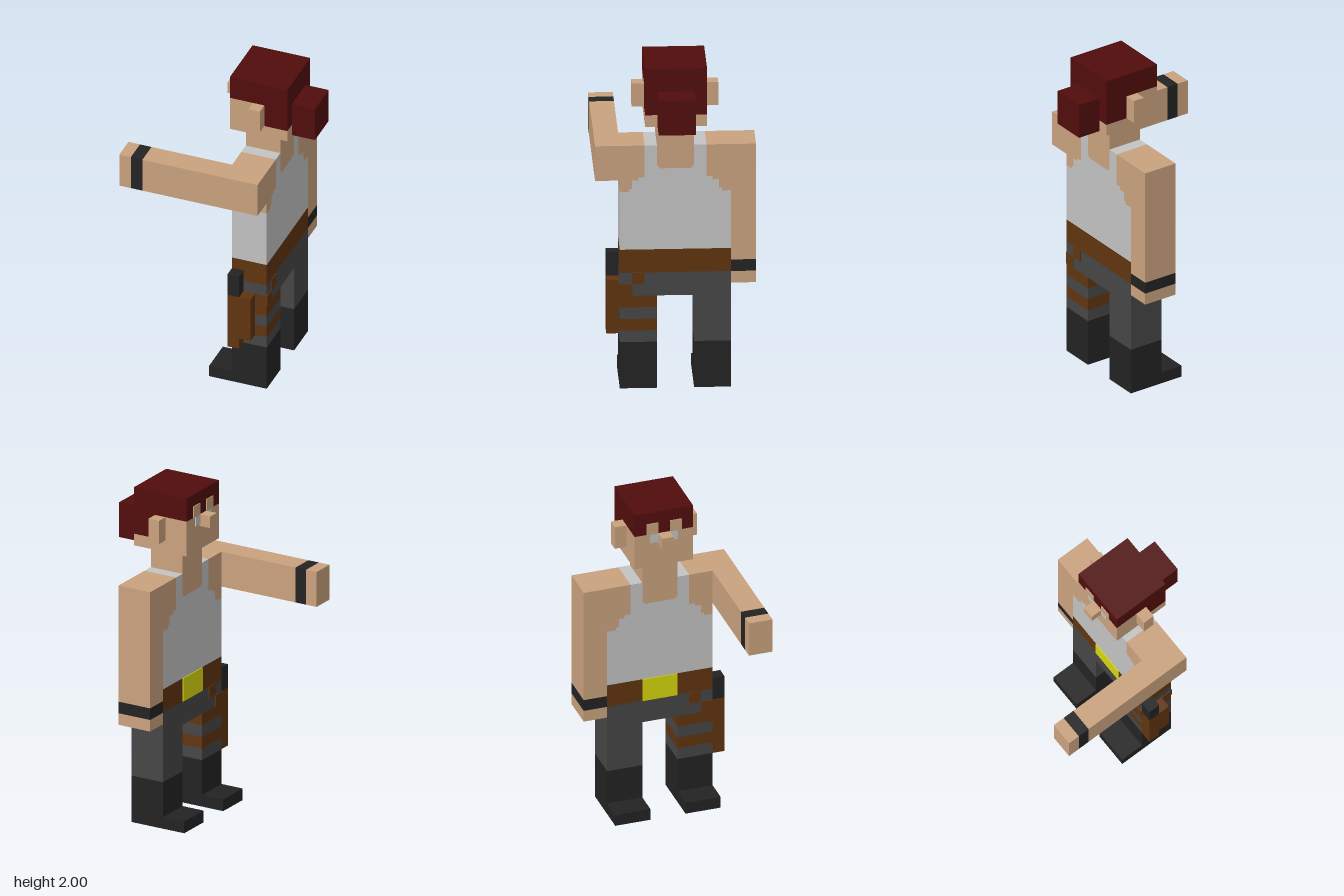
import * as THREE from 'three';

const U = 1 / 14; // one block
const T = 0.07;   // plate thickness in blocks (0.005)

const material = (name, color) => {
  const m = new THREE.MeshStandardMaterial({ color });
  m.name = name;
  return m;
};

export function createModel() {
  const skin = material('skin', 0xcaa27e);
  const hair = material('hair', 0x520d0d);
  const black = material('black leather', 0x232323);
  const trousers = material('trousers', 0x464646);
  const leather = material('brown leather', 0x60340f);
  const cloth = material('light grey cloth', 0xc3c3c3);
  const yellow = material('yellow buckle', 0xd6d60e);

  const model = new THREE.Group();
  model.name = 'blockFigure';

  // Box from ranges in blocks; the figure faces -x
  const box = (name, mat, [x0, x1], [y0, y1], [z0, z1]) => {
    const geo = new THREE.BoxGeometry((x1 - x0) * U, (y1 - y0) * U, (z1 - z0) * U);
    const mesh = new THREE.Mesh(geo, mat);
    mesh.name = name;
    mesh.position.set((x0 + x1) / 2 * U, (y0 + y1) / 2 * U, (z0 + z1) / 2 * U);
    model.add(mesh);
  };
  // z range on either side of the body
  const side = (s, a, b) => (s > 0 ? [a, b] : [-b, -a]);

  // (z, y) outline extruded through the depth of the torso
  const torsoPart = (name, mat, points) => {
    const shape = new THREE.Shape(points.map(([z, y]) => new THREE.Vector2(z * U, y * U)));
    const geo = new THREE.ExtrudeGeometry(shape, { depth: 3 * U, bevelEnabled: false });
    geo.rotateY(-Math.PI / 2);
    const mesh = new THREE.Mesh(geo, mat);
    mesh.name = name;
    mesh.position.x = 4.5 * U;
    model.add(mesh);
  };
  const mirror = (pts) => pts.map(([z, y]) => [-z, y]).reverse();

  const body = [1.5, 4.5];

  // Legs and boots
  for (const s of [1, -1]) {
    const z = side(s, 1.5, 4.5);
    box('boot', black, body, [0, 4], z);
    box('bootToe', black, [-0.5, 1.5], [0, 1], z);
    if (s < 0) box('trouserLeg', trousers, body, [4, 8], z);
    else {
      for (const y of [4, 6]) box('trouserLeg', trousers, body, [y, y + 1], z);
      for (const y of [5, 7]) box('legStrap', leather, body, [y, y + 1], z);
    }
  }

  // Hips, belt and buckle
  box('hips', trousers, body, [8, 10], [-4.5, 4.5]);
  box('belt', leather, body, [10, 12], [-4.5, 4.5]);
  box('buckle', yellow, [1.5 - T, 1.5], [10, 12], [-1.5, 1.5]);

  // Hanging strap stepping from the belt to the holster
  for (const x of [[4.5, 4.5 + T], [1.5 - T, 1.5]]) {
    box('hangingStrap', leather, x, [9, 10], [2.5, 3.5]);
    box('hangingStrap', leather, x, [8, 9], [3.5, 4.5]);
  }
  box('hangingStrapSide', leather, body, [8, 9], [4.5, 4.5 + T]);

  // Holster with grip
  box('holster', leather, [1.5, 3.5], [5, 9], [4.5, 5.5]);
  box('holsterTip', leather, [1.5, 2.5], [4, 5], [4.5, 5.5]);
  box('grip', black, [1.5, 2.5], [9, 11], [4.5, 5.5]);

  // Vest with arm and neck openings, filled by skin
  const armhole = [[4.5, 17], [3.75, 17], [3.75, 17.25], [3.5, 17.25], [3.5, 18],
    [3, 18], [3, 18.25], [2.5, 18.25], [2.5, 21]];
  const neckline = [[1.5, 21], [1.5, 19.25], [1.25, 19]];
  const half = [...armhole, ...neckline];
  torsoPart('vest', cloth, [[-4.5, 12], [4.5, 12], ...half, ...mirror(half)]);
  const shoulder = [[4.5, 21], ...[...armhole].reverse()];
  torsoPart('shoulder', skin, shoulder);
  torsoPart('shoulder', skin, mirror(shoulder));
  torsoPart('neck', skin, [[1.5, 23], [-1.5, 23], ...mirror(neckline).reverse().slice(1),
    ...[...neckline].reverse().slice(0, 2)]);

  // Arm stretched forward with wristband
  for (const [name, mat, a, b] of [['forwardHand', skin, -7.5, -6.5],
    ['forwardWristband', black, -6.5, -5.5], ['forwardArm', skin, -5.5, 4.5]]) {
    box(name, mat, [a, b], [18, 21], [4.5, 6.5]);
  }
  // Hanging arm with wristband
  for (const [name, mat, a, b] of [['hangingHand', skin, 9, 10],
    ['hangingWristband', black, 10, 11], ['hangingArm', skin, 11, 21]]) {
    box(name, mat, body, [a, b], [-6.5, -4.5]);
  }

  // Head and hair
  const head = [-2.5, 2.5];
  box('jaw', skin, [0.5, 5.5], [23, 24], head);
  box('face', skin, [0.5, 3], [24, 26], head);
  box('hairBack', hair, [3, 5.5], [24, 26], head);
  box('hairTop', hair, [0.5, 5.5], [26, 28], head);
  box('hairBun', hair, [5.5, 7.5], [23, 26], [-1.5, 1.5]);
  box('nose', skin, [-0.5, 0.5], [25, 26], [-0.5, 0.5]);
  for (const s of [1, -1]) {
    box('ear', skin, [2.5, 3.5], [24, 26], side(s, 2.5, 3.5));
    box('forehead', skin, [0.5 - T, 0.5], [26, 27], side(s, 0.5, 1.5));
    box('eye', cloth, [0.5 - T, 0.5], [25.2, 26], side(s, 0.5, 1.2));
  }

  return model;
}
